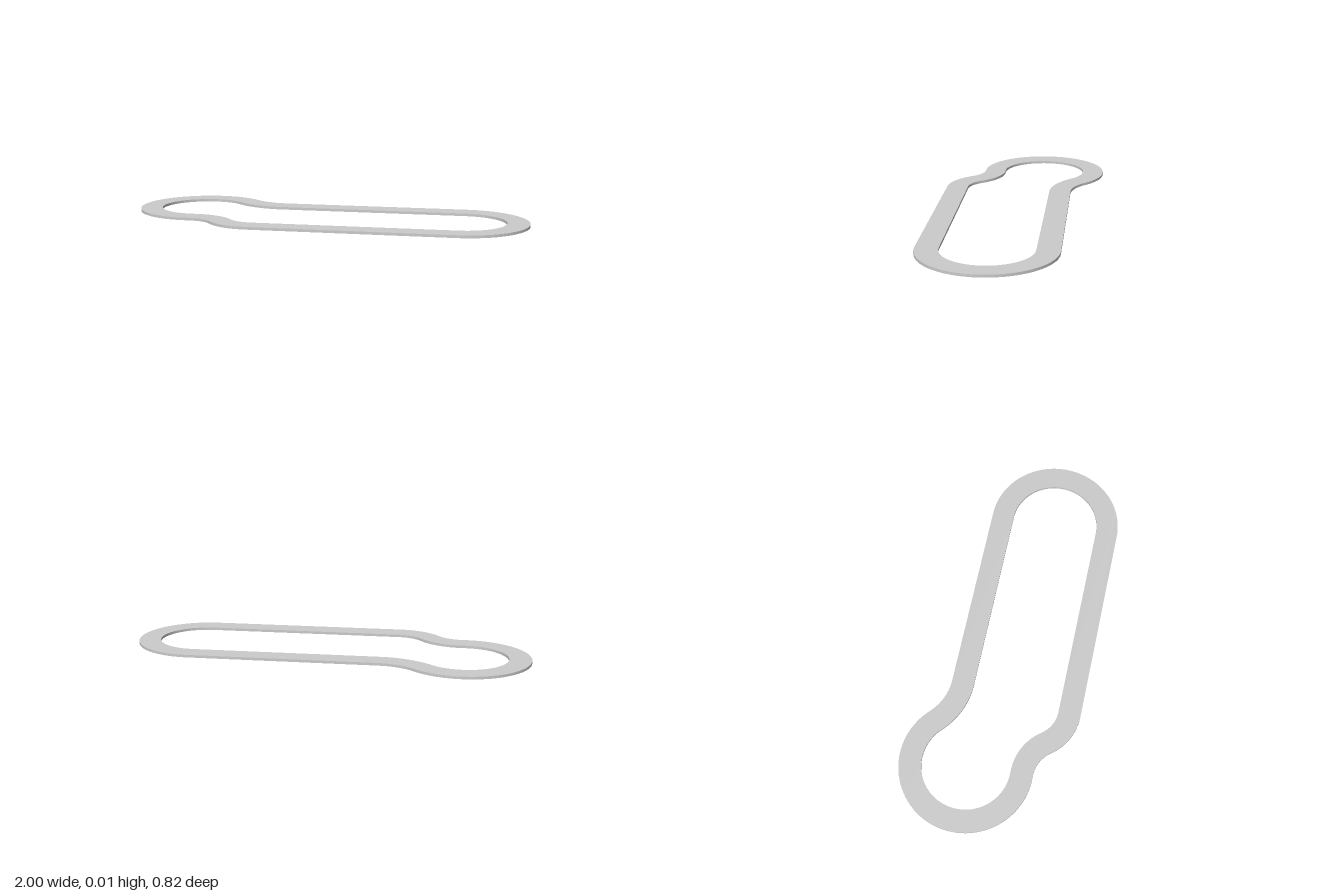
import * as THREE from 'three';
import { toCreasedNormals } from 'three/addons/utils/BufferGeometryUtils.js';

const HALF_BAND = 0.055;
const THICKNESS = 0.013;
const DEG = Math.PI / 180;

// Arcs of the band's centre line in plan (x, z); straight runs join them.
// side: +1 bulges outward, -1 curves inward.
const lobe = { x: -0.674, z: -0.085, r: 0.271 };
const cap = { x: 0.672, z: 0.08, r: 0.273 };

// Back fillet is tangent to both the lobe and the back straight
const backZ = cap.z - cap.r;
const filletX = -0.27;
const dx = filletX - lobe.x, dz = lobe.z - backZ;
const filletR = (dx * dx + dz * dz - lobe.r * lobe.r) / (2 * (lobe.r - dz));
const filletAngle = Math.atan2(dz + filletR, dx) / DEG;

// Front S-bend made of two equal arcs
const frontZ = cap.z + cap.r, lobeFrontZ = lobe.z + lobe.r;
const bendX0 = -0.65, bendX1 = -0.32;
const bendAngle = 2 * Math.atan2(frontZ - lobeFrontZ, bendX1 - bendX0);
const bendR = (bendX1 - bendX0) / (2 * Math.sin(bendAngle));
const bend = bendAngle / DEG;

const arcs = [
  { ...cap, from: -90, to: 90, side: 1 },
  { x: bendX1, z: frontZ - bendR, r: bendR, from: 90, to: 90 + bend, side: 1 },
  { x: bendX0, z: lobeFrontZ + bendR, r: bendR, from: bend - 90, to: -90, side: -1 },
  { ...lobe, from: 90, to: 360 - filletAngle, side: 1 },
  { x: filletX, z: backZ - filletR, r: filletR, from: 180 - filletAngle, to: 90, side: -1 },
];

// Closed outline at a constant offset from the centre line
function outline(path, offset) {
  for (const a of arcs) {
    path.absarc(a.x, a.z, a.r + a.side * offset, a.from * DEG, a.to * DEG, a.side < 0);
  }
  path.closePath();
  return path;
}

export function createModel() {
  const group = new THREE.Group();
  group.name = 'flatGasket';

  const shape = outline(new THREE.Shape(), HALF_BAND);
  shape.holes.push(outline(new THREE.Path(), -HALF_BAND));

  let geometry = new THREE.ExtrudeGeometry(shape, {
    depth: THICKNESS, bevelEnabled: false, curveSegments: 32,
  });
  geometry.rotateX(Math.PI / 2);
  geometry.translate(0, THICKNESS, 0);
  geometry = toCreasedNormals(geometry, 30 * DEG);

  const band = new THREE.Mesh(geometry, new THREE.MeshStandardMaterial({ color: 0xcccccc }));
  band.name = 'gasketBand';
  group.add(band);
  return group;
}
